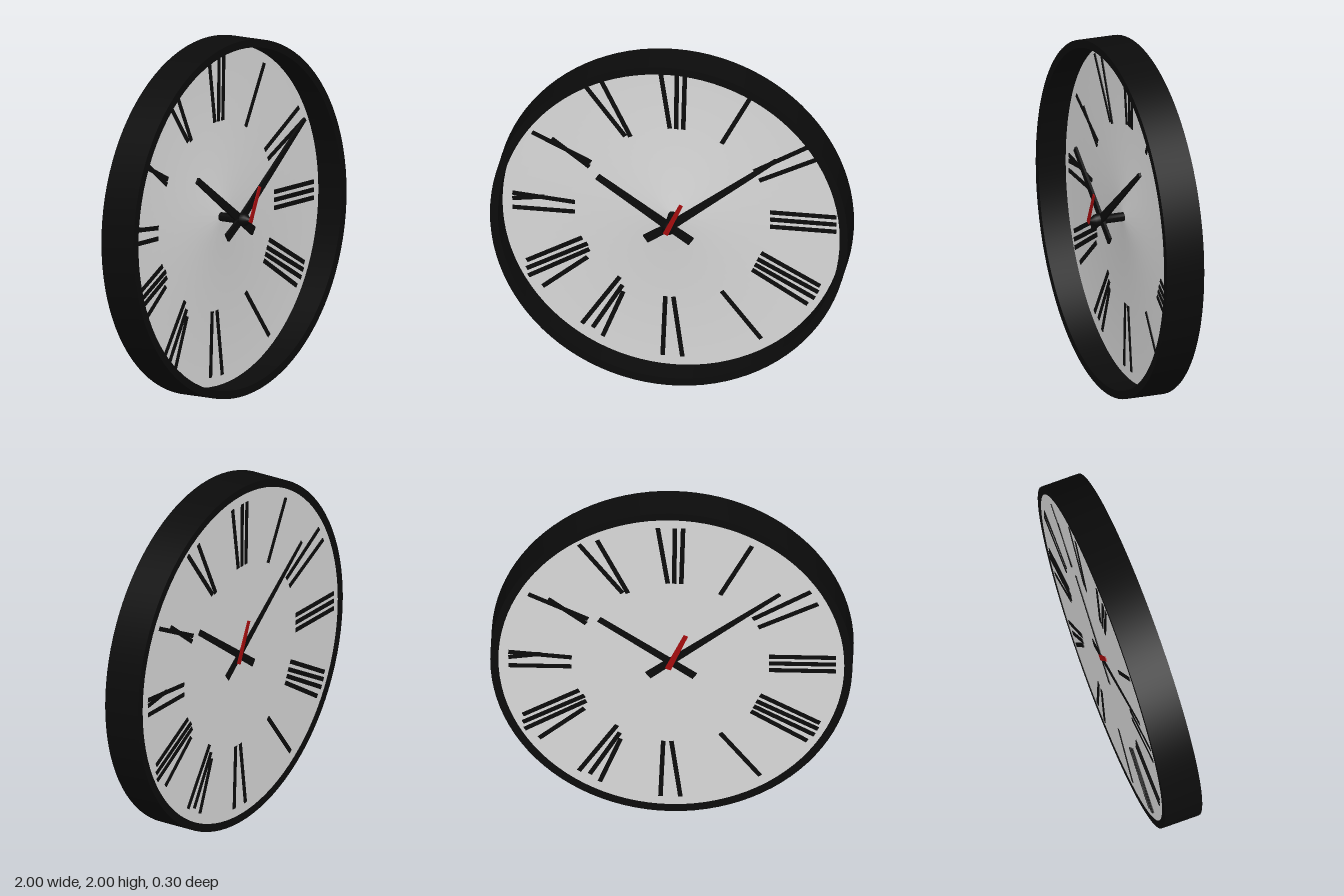
import * as THREE from 'three';
import { toCreasedNormals } from 'three/addons/utils/BufferGeometryUtils.js';

const material = (name, color) => {
  const m = new THREE.MeshStandardMaterial({ color });
  m.name = name;
  return m;
};

const FLOOR = -0.09, BACK = -0.147; // z of the recessed front dial and of the back dial

// Numeral strokes: x1, y1, x2, y2 from the dial centre
const NUMERALS = {
  twelve: [[-0.075, 0.9, -0.02, 0.53], [0.02, 0.9, 0.015, 0.53], [0.065, 0.9, 0.055, 0.53]],
  one: [[0.445, 0.79, 0.27, 0.46]],
  two: [[0.77, 0.49, 0.45, 0.3], [0.81, 0.41, 0.48, 0.245]],
  three: [[0.54, 0.05, 0.91, 0.05], [0.54, 0.005, 0.91, 0.005], [0.54, -0.04, 0.91, -0.04]],
  four: [[0.49, -0.21, 0.82, -0.39], [0.47, -0.25, 0.81, -0.43], [0.455, -0.285, 0.79, -0.47], [0.44, -0.32, 0.75, -0.51]],
  five: [[0.27, -0.47, 0.49, -0.75]],
  six: [[-0.045, -0.53, -0.06, -0.9], [0, -0.53, 0.05, -0.9]],
  seven: [[-0.3, -0.43, -0.51, -0.74], [-0.285, -0.48, -0.45, -0.76], [-0.28, -0.52, -0.395, -0.81]],
  eight: [[-0.51, -0.2, -0.82, -0.37], [-0.48, -0.235, -0.82, -0.42], [-0.47, -0.27, -0.81, -0.465], [-0.48, -0.32, -0.73, -0.525]],
  nine: [[-0.9, 0.05, -0.55, 0.02], [-0.9, 0.015, -0.72, 0.04], [-0.9, -0.04, -0.55, -0.04]],
  ten: [[-0.79, 0.44, -0.46, 0.28], [-0.68, 0.41, -0.47, 0.25]],
  eleven: [[-0.51, 0.78, -0.27, 0.46], [-0.41, 0.81, -0.24, 0.46]],
};

// Flat bar between two points, w1 wide at the start and w2 at the end
function bar([x1, y1, x2, y2], w1, w2, z, depth, mat, name) {
  const length = Math.hypot(x2 - x1, y2 - y1);
  const s = new THREE.Shape([
    new THREE.Vector2(0, -w1 / 2), new THREE.Vector2(length, -w2 / 2),
    new THREE.Vector2(length, w2 / 2), new THREE.Vector2(0, w1 / 2),
  ]);
  const mesh = new THREE.Mesh(new THREE.ExtrudeGeometry(s, { depth, bevelEnabled: false }), mat);
  mesh.position.set(x1, y1, z);
  mesh.rotation.z = Math.atan2(y2 - y1, x2 - x1);
  mesh.name = name;
  return mesh;
}

// Turned part around the z axis from [radius, z] points
function turned(points, segments, mat, name) {
  const lathe = new THREE.LatheGeometry(points.map(([r, z]) => new THREE.Vector2(r, z)), segments);
  const mesh = new THREE.Mesh(toCreasedNormals(lathe.rotateX(Math.PI / 2), 0.6), mat);
  mesh.name = name;
  return mesh;
}

function numerals(mat) {
  const group = new THREE.Group();
  for (const [name, strokes] of Object.entries(NUMERALS)) {
    const numeral = new THREE.Group();
    numeral.name = name + 'Numeral';
    for (const s of strokes) numeral.add(bar(s, 0.025, 0.025, 0, 0.004, mat, 'stroke'));
    group.add(numeral);
  }
  return group;
}

export function createModel() {
  const black = material('black', 0x0b0b0b);
  const white = material('dialWhite', 0xd9d9d9);
  const red = material('red', 0xa50c0e);

  const clock = new THREE.Group();
  clock.name = 'wallClock';

  // Deep round case and the dial recessed inside it
  clock.add(turned([[0.955, -0.15], [1, -0.15], [1, 0.07], [0.955, 0.07], [0.955, -0.15]], 96, black, 'caseRim'));
  clock.add(turned([[0, BACK], [0.956, BACK], [0.956, FLOOR], [0.2, FLOOR], [0.04, FLOOR + 0.03], [0, FLOOR + 0.03]], 96, white, 'dial'));

  const front = numerals(black);
  front.name = 'frontNumerals';
  front.position.z = FLOOR;
  clock.add(front);

  // Hands, each with a short wide tail past the hub
  const hands = new THREE.Group();
  hands.name = 'hands';
  hands.add(bar([0, 0, -0.4, 0.28], 0.05, 0.035, 0.062, 0.014, black, 'hourHand'));
  hands.add(bar([0, 0, 0.125, -0.085], 0.045, 0.05, 0.062, 0.014, black, 'hourHandTail'));
  hands.add(bar([0, 0, 0.6, 0.47], 0.05, 0.022, 0.068, 0.014, black, 'minuteHand'));
  hands.add(bar([0, 0, -0.13, -0.085], 0.045, 0.05, 0.068, 0.014, black, 'minuteHandTail'));
  hands.add(bar([-0.008, -0.01, 0.08, 0.18], 0.03, 0.022, 0.143, 0.006, red, 'secondHand'));
  clock.add(hands);

  // Spindle with a tapered cap
  clock.add(turned([[0.025, FLOOR], [0.025, 0.07], [0.035, 0.085], [0.033, 0.11], [0.01, 0.143], [0, 0.143]], 20, black, 'hub'));

  // Painted dial on the back, turned to face -z
  const back = numerals(black);
  back.name = 'backNumerals';
  back.add(bar([0.13, -0.09, -0.4, 0.28], 0.045, 0.035, 0, 0.004, black, 'paintedHourHand'));
  back.add(bar([-0.13, -0.09, 0.6, 0.47], 0.05, 0.022, 0, 0.004, black, 'paintedMinuteHand'));
  back.add(bar([-0.02, -0.045, 0.08, 0.18], 0.035, 0.025, 0.002, 0.005, red, 'paintedSecondHand'));
  back.rotation.y = Math.PI;
  back.position.z = BACK;
  clock.add(back);

  clock.position.y = 1;
  const model = new THREE.Group();
  model.add(clock);
  return model;
}
